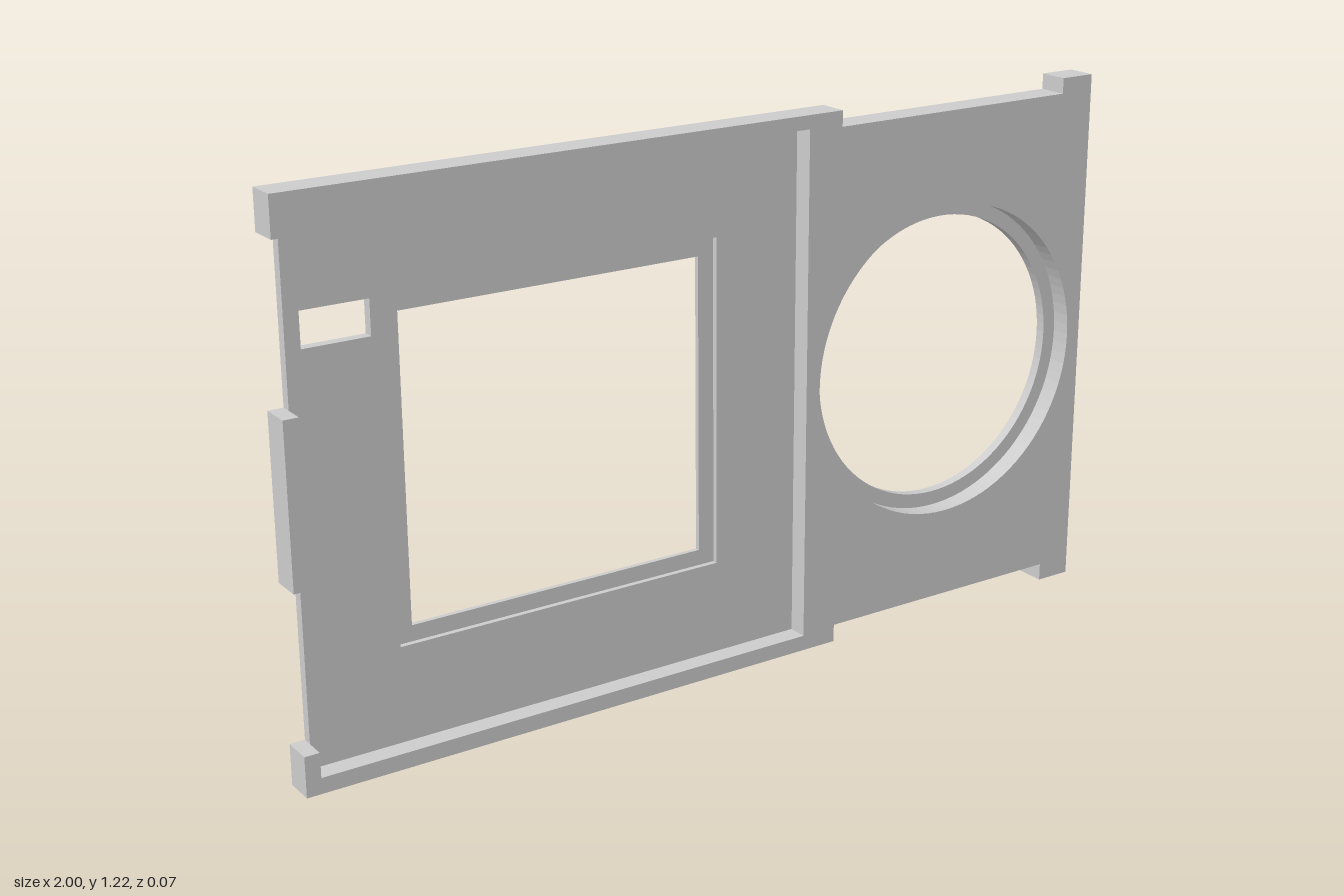
import * as THREE from 'three';

const H = 1.215;                                   // plate height
const Z = { back: -0.034, step: -0.023, floor: -0.011, front: 0.034 };
const material = new THREE.MeshStandardMaterial({ color: 0xcccccc });

const polygon = (points) => new THREE.Shape(points.map(([x, y]) => new THREE.Vector2(x, y)));

function rectHole(x0, x1, y0, y1) {
  return new THREE.Path([[x0, y0], [x0, y1], [x1, y1], [x1, y0]].map(([x, y]) => new THREE.Vector2(x, y)));
}

function roundHole(radius) {
  return new THREE.Path().absarc(0.605, H / 2, radius, 0, Math.PI * 2, true);
}

// Extrude a shape with its holes between two depths
function layer(name, shape, holes, z0, z1) {
  shape.holes.push(...holes);
  const geometry = new THREE.ExtrudeGeometry(shape, { depth: z1 - z0, bevelEnabled: false, curveSegments: 48 });
  geometry.translate(0, 0, z0);
  const mesh = new THREE.Mesh(geometry, material);
  mesh.name = name;
  return mesh;
}

// Bottom, right and top edges, with the shallow notches at the right
const outerEdge = [
  [-1, 0], [0.295, 0], [0.295, 0.04], [0.915, 0.04], [0.915, 0], [1, 0],
  [1, H], [0.915, H], [0.915, 1.18], [0.295, 1.18], [0.295, H], [-1, H],
];

// Left edge with corner tabs and a middle tab
const tabbedEdge = [
  [-1, 1.13], [-0.967, 1.13], [-0.967, 0.785], [-1, 0.785],
  [-1, 0.435], [-0.967, 0.435], [-0.967, 0.09], [-1, 0.09],
];

// Wide recess, open at the left between the tabs
const recessEdge = [
  [-1, 1.13], [-0.967, 1.13], [-0.967, 1.185], [0.21, 1.185],
  [0.21, 0.035], [-0.967, 0.035], [-0.967, 0.09], [-1, 0.09],
];

export function createModel() {
  const group = new THREE.Group();
  group.name = 'panel';
  const slot = () => rectHole(-0.935, -0.79, 0.9, 0.975);

  // Back sheet with the small window, slot and round opening
  group.add(layer('backSheet', polygon([...outerEdge, ...tabbedEdge]),
    [rectHole(-0.727, -0.033, 0.28, 0.937), slot(), roundHole(0.327)], Z.back, Z.step));

  // Middle sheet with the larger window that leaves a ledge
  group.add(layer('windowLedgeSheet', polygon([...outerEdge, ...tabbedEdge]),
    [rectHole(-0.76, 0.005, 0.245, 0.975), slot(), roundHole(0.327)], Z.step, Z.floor));

  // Raised front frame around the recess and the wider round opening
  group.add(layer('frontFrame', polygon([...outerEdge, ...recessEdge]),
    [roundHole(0.36)], Z.floor, Z.front));

  // Front part of the middle tab
  group.add(layer('middleTab', polygon([[-1, 0.435], [-0.967, 0.435], [-0.967, 0.785], [-1, 0.785]]),
    [], Z.floor, Z.front));

  return group;
}
